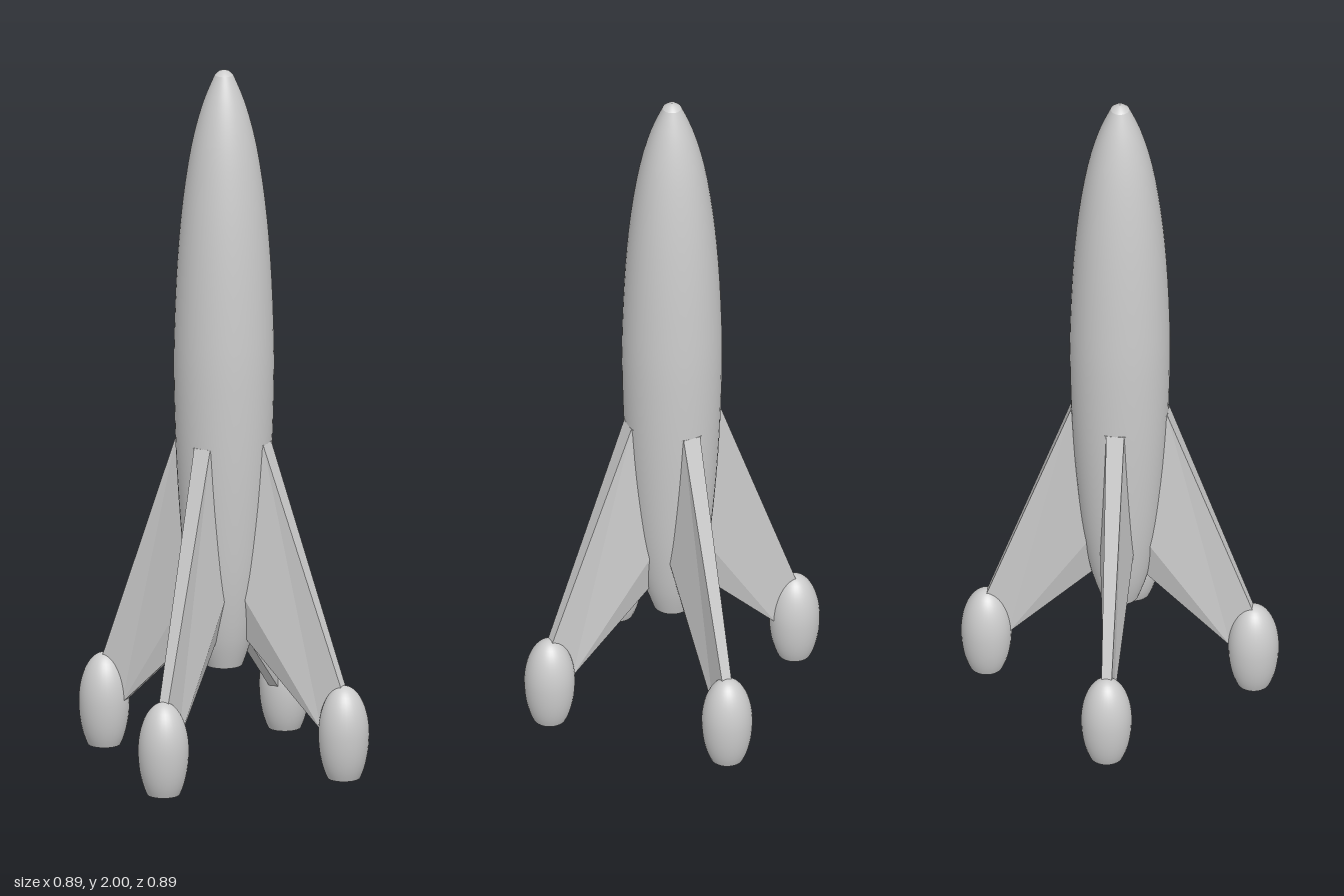
import * as THREE from 'three';

const material = new THREE.MeshStandardMaterial({ color: 0xcccccc });
const finMaterial = new THREE.MeshStandardMaterial({ color: 0xcccccc, flatShading: true, side: THREE.DoubleSide });

function part(name, geometry, mat = material) {
  const mesh = new THREE.Mesh(geometry, mat);
  mesh.name = name;
  return mesh;
}

// Revolve [radius, height] points, listed from bottom to top
function lathe(points, segments = 40) {
  return new THREE.LatheGeometry(points.map(([r, y]) => new THREE.Vector2(r, y)), segments);
}

// Flat disc facing down
function baseDisc(name, radius, y) {
  const disc = part(name, new THREE.CircleGeometry(radius, 40));
  disc.rotation.x = Math.PI / 2;
  disc.position.y = y;
  return disc;
}

// Fin pointing along +x: narrow leading edge, flanks swelling toward the hull
function finGeometry() {
  const half = [
    [0.135, 0.935, 0.025], // 0 leading edge, top
    [0.375, 0.25, 0.014],  // 1 leading edge, bottom
    [0.31, 0.13, 0.014],   // 2 lower tip inside the pod
    [0.05, 0.39, 0.014],   // 3 lower root inside the hull
    [0.05, 0.55, 0.052],   // 4 swollen root inside the hull
    [0.122, 0.935, 0.05],  // 5 top root
  ];
  const n = half.length;
  const positions = [...half, ...half.map(([x, y, z]) => [x, y, -z])].flat();
  const index = [];
  // The two flanks
  for (const [a, b, c] of [[0, 5, 4], [0, 4, 2], [0, 2, 1], [4, 3, 2]]) {
    index.push(a, b, c, a + n, c + n, b + n);
  }
  // The rim joining them
  for (let i = 0; i < n; i++) {
    const j = (i + 1) % n;
    index.push(i, j, j + n, i, j + n, i + n);
  }
  const geometry = new THREE.BufferGeometry();
  geometry.setAttribute('position', new THREE.Float32BufferAttribute(positions, 3));
  geometry.setIndex(index);
  const flat = geometry.toNonIndexed();
  flat.computeVertexNormals();
  return flat;
}

export function createModel() {
  const rocket = new THREE.Group();
  rocket.name = 'rocket';

  // Hull
  const profile = new THREE.SplineCurve([
    [0.052, 0.28], [0.08, 0.37], [0.105, 0.52], [0.122, 0.7], [0.134, 0.9], [0.14, 1.12],
    [0.138, 1.27], [0.13, 1.45], [0.115, 1.62], [0.091, 1.78], [0.06, 1.9], [0.026, 1.985],
  ].map(([r, y]) => new THREE.Vector2(r, y))).getPoints(33);
  rocket.add(part('hull', new THREE.LatheGeometry(profile, 48)));
  rocket.add(part('noseCap', lathe([[0.026, 1.985], [0.014, 1.996], [0, 2]])));
  rocket.add(baseDisc('hullBase', 0.052, 0.28));

  // Landing pod profile: an egg cut flat at the bottom
  const podPoints = [];
  for (let i = 0; i <= 20; i++) {
    const a = THREE.MathUtils.lerp(-0.87, Math.PI / 2, i / 20);
    const lower = a < 0;
    podPoints.push([0.071 * Math.cos(a), 0.128 + (lower ? 0.128 / Math.sin(0.87) : 0.137) * Math.sin(a)]);
  }
  podPoints[20][0] = 0;
  const podGeometry = lathe(podPoints, 32);
  const fin = finGeometry();

  // Four fins, each ending in a landing pod
  for (let i = 0; i < 4; i++) {
    const leg = new THREE.Group();
    leg.name = 'finAssembly';
    leg.add(part('fin', fin, finMaterial));
    const pod = new THREE.Group();
    pod.name = 'landingPod';
    pod.add(part('podShell', podGeometry), baseDisc('podBase', podPoints[0][0], 0));
    pod.position.x = 0.373;
    leg.add(pod);
    leg.rotation.y = i * Math.PI / 2;
    rocket.add(leg);
  }
  return rocket;
}
